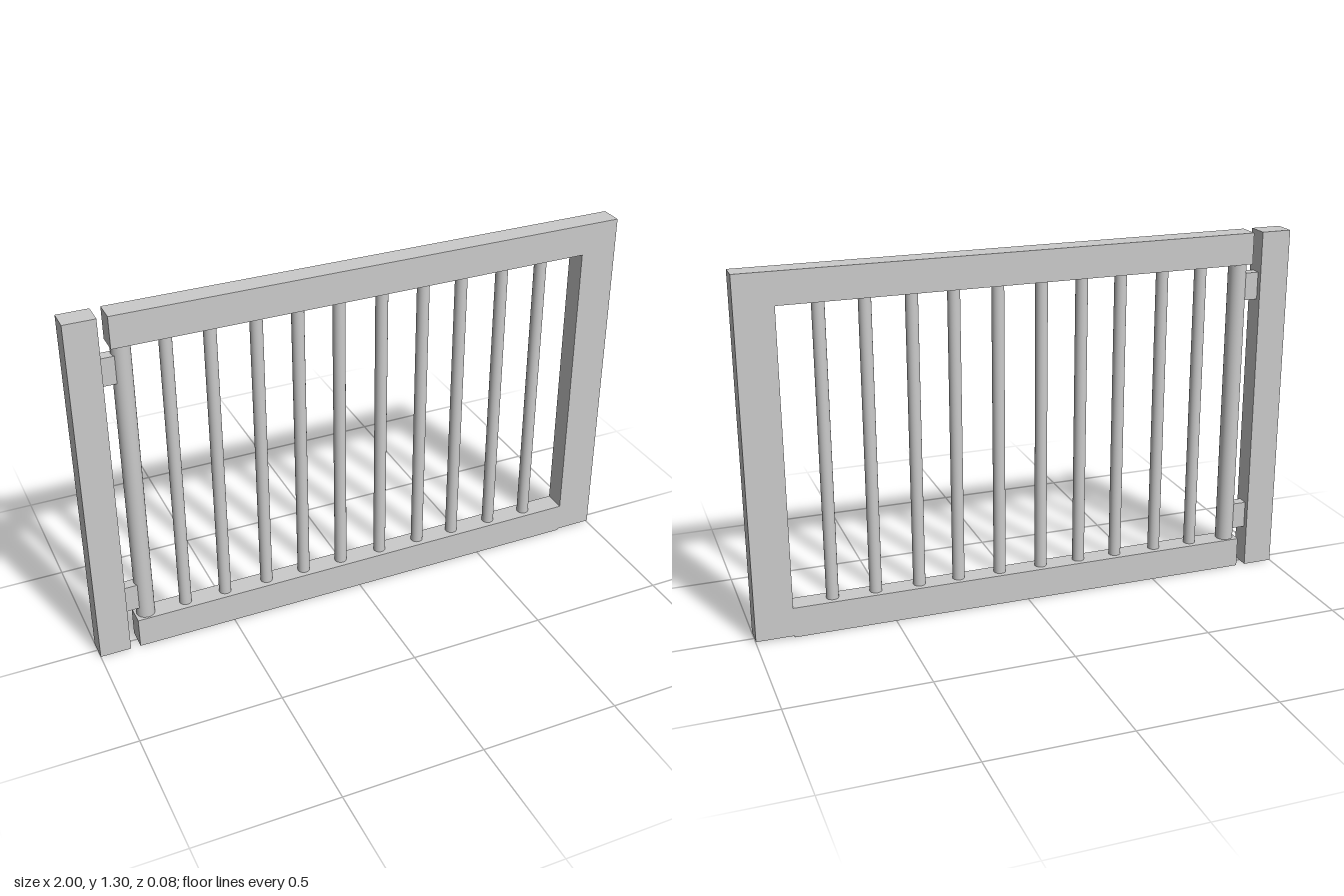
import * as THREE from 'three';

export function createModel() {
  const gate = new THREE.Group();
  gate.name = 'gate';
  const material = new THREE.MeshStandardMaterial({ color: 0xcccccc });
  const depth = 0.08;

  function add(name, geometry, x, y, z = 0) {
    const mesh = new THREE.Mesh(geometry, material);
    mesh.name = name;
    mesh.position.set(x, y, z);
    gate.add(mesh);
  }

  // Fixed post that carries the hinges
  add('hingePost', new THREE.BoxGeometry(0.11, 1.3, depth), -0.945, 0.65);

  // C-shaped frame: top rail, latch stile and bottom rail in one outline
  const outline = [
    [-0.855, 0], [0.865, 0], [0.865, 0.006], [1, 0.006], [1, 1.3], [-0.855, 1.3],
    [-0.855, 1.186], [0.865, 1.186], [0.865, 0.112], [-0.855, 0.112],
  ].map(([x, y]) => new THREE.Vector2(x, y));
  const frame = new THREE.ExtrudeGeometry(new THREE.Shape(outline), { depth, bevelEnabled: false });
  add('frame', frame, 0, 0, -depth / 2);

  // Upright bars between the rails, sunk slightly into them
  const addBar = (name, x, radius) =>
    add(name, new THREE.CylinderGeometry(radius, radius, 1.09, 32), x, 0.649);
  addBar('hingeBar', -0.815, 0.033);
  [-0.667, -0.517, -0.357, -0.21, -0.061, 0.098, 0.255, 0.402, 0.562, 0.718]
    .forEach((x, i) => addBar(`bar${i + 1}`, x, 0.022));

  // Hinge blocks joining the post to the thick bar
  add('lowerHinge', new THREE.BoxGeometry(0.075, 0.1, 0.04), -0.8575, 0.2);
  add('upperHinge', new THREE.BoxGeometry(0.075, 0.1, 0.04), -0.8575, 1.1);

  return gate;
}
